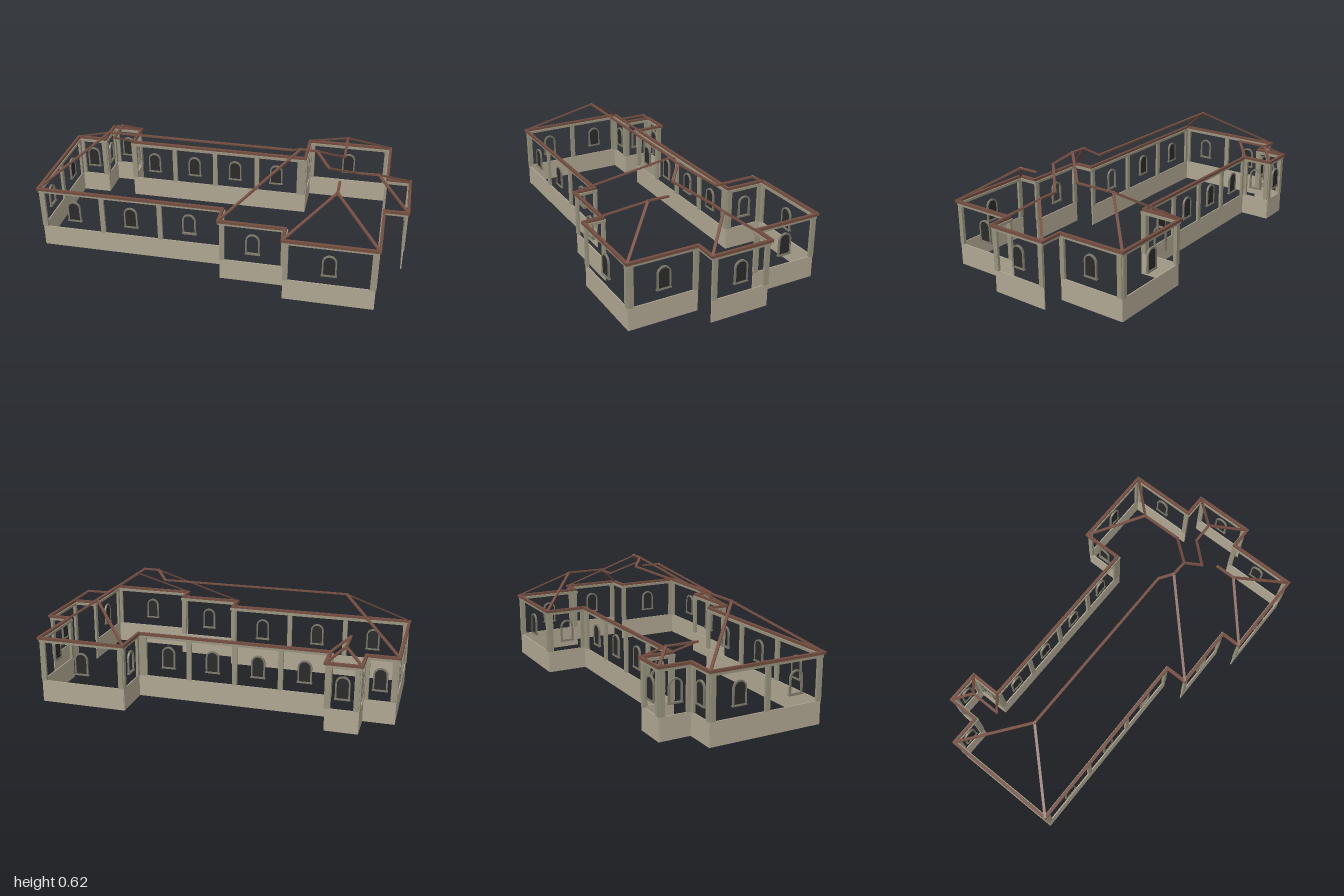
import * as THREE from 'three';

const mat = (name, color) => new THREE.MeshStandardMaterial({ name, color });

export function createModel() {
  const stone = mat('plinth stone', 0xb0a793);
  const plaster = mat('pilaster grey', 0x98937e);
  const frameMat = mat('window frame grey', 0x7c7869);
  const glass = mat('dark glass', 0x2a2a2a);
  const tile = mat('ridge tile brown', 0x744d40);

  const model = new THREE.Group();
  model.name = 'house';
  const house = new THREE.Group(); // rectilinear plan, turned on the plot
  house.name = 'building';
  house.rotation.y = 0.667;
  model.add(house);

  const add = (name, geo, material, parent = house) => {
    const m = new THREE.Mesh(geo, material);
    m.name = name;
    parent.add(m);
    return m;
  };

  const BASE = 0.12, EAVE = 0.36, INSET = 0.006;
  const UP = new THREE.Vector3(0, 1, 0);

  // upright rectangular bar between two points
  const bar = (name, p, q, w, h, material) => {
    const a = new THREE.Vector3(...p), b = new THREE.Vector3(...q);
    const m = add(name, new THREE.BoxGeometry(w, h, a.distanceTo(b) + w * 0.8), material);
    m.position.copy(a).add(b).multiplyScalar(0.5);
    m.quaternion.setFromRotationMatrix(new THREE.Matrix4().lookAt(b, a, UP));
  };

  // eave outline, [along, across], clockwise from the front corner of the long end
  const plan = [
    [-1.033, 0.337], [-1.033, -0.29], [-0.87, -0.29], [-0.87, -0.458], [-0.693, -0.458], [-0.693, -0.29],
    [0.34, -0.29], [0.34, -0.512], [0.815, -0.512], [0.815, -0.143], [0.938, -0.143], [0.938, 0.188],
    [0.815, 0.188], [0.815, 0.562], [0.338, 0.562], [0.338, 0.455], [-0.01, 0.455], [-0.01, 0.337],
  ];
  const n = plan.length;
  const dirOf = i => {
    const [a, b] = [plan[i], plan[(i + 1) % n]];
    const l = Math.hypot(b[0] - a[0], b[1] - a[1]);
    return [(b[0] - a[0]) / l, (b[1] - a[1]) / l];
  };
  // wall corners, moved in from the eaves on both adjoining sides
  const corner = plan.map((p, i) => {
    const d0 = dirOf((i + n - 1) % n), d1 = dirOf(i);
    return [p[0] + INSET * (-d0[1] - d1[1]), p[1] + INSET * (d0[0] + d1[0])];
  });

  // arched window: outline shape shared by frame and pane
  const arch = (w, h) => {
    const s = new THREE.Shape(), r = w / 2;
    s.moveTo(-r, 0);
    s.lineTo(r, 0);
    s.lineTo(r, h - r);
    s.absarc(0, h - r, r, 0, Math.PI, false);
    s.lineTo(-r, 0);
    return s;
  };
  const frameShape = arch(0.074, 0.12);
  frameShape.holes.push(new THREE.Path(arch(0.058, 0.106).getPoints(10).map(p => p.setY(p.y + 0.006))));
  const frameGeo = new THREE.ExtrudeGeometry(frameShape, { depth: 0.01, bevelEnabled: false, curveSegments: 10 });
  frameGeo.translate(0, 0, -0.005);
  const paneGeo = new THREE.ExtrudeGeometry(arch(0.06, 0.108), { depth: 0.004, bevelEnabled: false, curveSegments: 10 });
  paneGeo.translate(0, 0.005, -0.002);
  const sillGeo = new THREE.BoxGeometry(0.08, 0.006, 0.014);

  const addWindow = (x, z, angle, glazed) => {
    const g = new THREE.Group();
    g.name = glazed ? 'glazedWindow' : 'openWindow';
    g.position.set(x, 0.175, z);
    g.rotation.y = angle;
    add('windowFrame', frameGeo, frameMat, g);
    add('windowSill', sillGeo, frameMat, g);
    if (glazed) add('windowPane', paneGeo, glass, g);
    house.add(g);
  };

  // per plan side: window and post positions as fractions of the side; open lists windows without glass
  const sides = {
    0: { win: [0.24, 0.75], open: [0], post: [0.5] },                        // long end
    1: { win: [0.5] },
    2: { win: [0.5], open: [0] },                                            // small turret
    3: { win: [0.5] },
    4: { win: [0.5], open: [0] },
    5: { win: [0.13, 0.365, 0.6, 0.835], post: [0.25, 0.485, 0.725, 0.965] }, // back
    6: { win: [0.5], open: [0] },
    7: { win: [0.5] },
    8: { win: [0.5] },
    10: { win: [0.5] },
    12: { win: [0.5] },
    13: { win: [0.5] },
    15: { win: [0.5], open: [0] },
    17: { win: [0.187, 0.503, 0.816], open: [0], post: [0.345, 0.66] },      // front
  };

  const post = (x, z, angle) => {
    const m = add('post', new THREE.BoxGeometry(0.026, EAVE - 0.02 - BASE, 0.014), plaster);
    m.position.set(x, (EAVE - 0.02 + BASE) / 2, z);
    m.rotation.y = angle;
  };

  for (let i = 0; i < n; i++) {
    const j = (i + 1) % n;
    const a = corner[i], b = corner[j], p = plan[i], q = plan[j];
    const [dx, dz] = dirOf(i);
    const angle = Math.atan2(-dz, dx);
    const at = t => [a[0] + (b[0] - a[0]) * t, a[1] + (b[1] - a[1]) * t];

    // wall plate and tiled edge of the eaves
    bar('wallPlate', [a[0], 0.342, a[1]], [b[0], 0.342, b[1]], 0.014, 0.014, plaster);
    bar('eave', [p[0], EAVE - 0.003, p[1]], [q[0], EAVE - 0.003, q[1]], 0.016, 0.014, tile);

    const side = sides[i];
    if (!side) continue;
    const len = Math.hypot(b[0] - a[0], b[1] - a[1]);
    const plinth = add('plinth', new THREE.BoxGeometry(len, BASE, 0.006), stone);
    plinth.position.set((a[0] + b[0]) / 2, BASE / 2, (a[1] + b[1]) / 2);
    plinth.rotation.y = angle;

    const e = 0.013 / len;
    for (const t of [e, 1 - e, ...(side.post || [])]) post(...at(t), angle);
    side.win.forEach((t, k) => addWindow(...at(t), angle, !(side.open || []).includes(k)));
  }

  // ridges, hips and valleys as chains of [along, height, across]
  const P = i => [plan[i][0], EAVE, plan[i][1]];
  const longEnd = [-0.717, 0.575, 0.022];
  const mainTop = [0.355, 0.615, 0.082], crossTop = [0.441, 0.615, 0.086];
  const backEnd = [0.575, 0.52, -0.279], frontEnd = [0.577, 0.52, 0.326];
  const sideEnd = [0.768, 0.475, 0.024], turretEnd = [-0.779, 0.42, -0.37];
  const chains = [
    [P(0), longEnd, [0.298, 0.575, 0.025], mainTop, crossTop, [0.577, 0.52, -0.055], backEnd, P(7)],
    [P(1), longEnd],
    [P(8), backEnd],
    [mainTop, P(16)],
    [crossTop, [0.514, 0.56, 0.156], [0.651, 0.475, 0.026], sideEnd, P(10)],
    [P(11), sideEnd],
    [[0.577, 0.52, 0.219], frontEnd, P(13)],
    [P(14), frontEnd],
    [P(3), turretEnd, [-0.779, 0.42, -0.206], P(5)],
    [P(4), turretEnd],
  ];
  for (const c of chains)
    for (let k = 0; k + 1 < c.length; k++) bar('roofRidge', c[k], c[k + 1], 0.014, 0.008, tile);

  return model;
}
